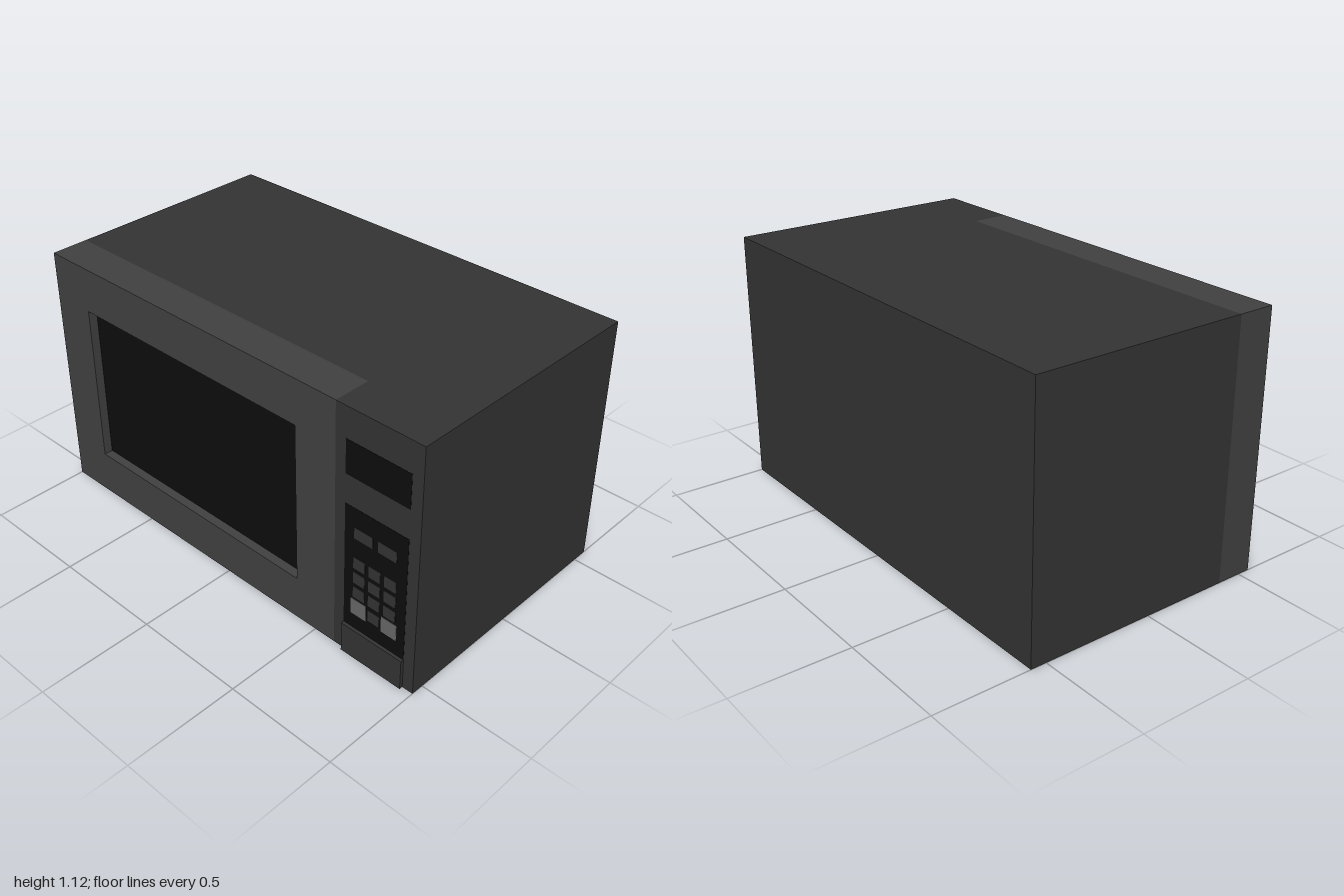
import * as THREE from 'three';

const H = 1.125, BACK = -0.57, SEAM = 0.39, FRONT = 0.555, SPLIT = 0.6;

const material = (color) => new THREE.MeshStandardMaterial({ color });
const caseGrey = material(0x333333);
const doorGrey = material(0x404040);
const black = material(0x0d0d0d);
const lightGrey = material(0x666666);

export function createModel() {
  const model = new THREE.Group();
  model.name = 'microwaveOven';

  const add = (name, geometry, mat) => {
    const mesh = new THREE.Mesh(geometry, mat);
    mesh.name = name;
    model.add(mesh);
    return mesh;
  };
  // Box given by its extents on each axis
  const box = (name, mat, x0, x1, y0, y1, z0, z1) =>
    add(name, new THREE.BoxGeometry(x1 - x0, y1 - y0, z1 - z0), mat)
      .position.set((x0 + x1) / 2, (y0 + y1) / 2, (z0 + z1) / 2);
  const corners = (points) => points.map(([x, y]) => new THREE.Vector2(x, y));

  // Case: L-shaped plan with the control column reaching the front
  const plan = new THREE.Shape(corners([
    [-1, -SEAM], [SPLIT, -SEAM], [SPLIT, -FRONT], [1, -FRONT], [1, -BACK], [-1, -BACK],
  ]));
  const caseGeometry = new THREE.ExtrudeGeometry(plan, { depth: H, bevelEnabled: false });
  caseGeometry.rotateX(-Math.PI / 2);
  add('case', caseGeometry, caseGrey);

  // Door frame with a window opening
  const frame = new THREE.Shape(corners([[-1, 0], [SPLIT, 0], [SPLIT, H], [-1, H]]));
  frame.holes.push(new THREE.Path(corners([[-0.8, 0.2], [-0.8, 0.925], [0.4, 0.925], [0.4, 0.2]])));
  const doorGeometry = new THREE.ExtrudeGeometry(frame, { depth: FRONT - SEAM, bevelEnabled: false });
  add('door', doorGeometry, doorGrey).position.z = SEAM;

  // Recessed window pane
  box('window', black, -0.8, 0.4, 0.2, 0.925, SEAM, FRONT - 0.04);

  // Display, keypad panel and door release button
  box('display', black, 0.65, 0.95, 0.84, 0.99, FRONT - 0.01, FRONT + 0.001);
  box('keypadPanel', black, 0.65, 0.95, 0.14, 0.71, FRONT - 0.01, FRONT + 0.001);
  box('doorButton', caseGrey, 0.65, 0.95, 0, 0.14, FRONT - 0.01, 0.57);

  // Keys, placed by centre and size
  const key = (name, mat, x, y, w, h) =>
    box(name, mat, x - w / 2, x + w / 2, y - h / 2, y + h / 2, FRONT - 0.005, FRONT + 0.003);
  for (const x of [0.742, 0.856]) key('functionKey', caseGrey, x, 0.6, 0.088, 0.05);
  for (const y of [0.46, 0.39, 0.32]) {
    for (const x of [0.724, 0.799, 0.874]) key('numberKey', caseGrey, x, y, 0.056, 0.052);
  }
  key('zeroKey', caseGrey, 0.799, 0.247, 0.056, 0.052);
  for (const x of [0.724, 0.874]) key('startStopKey', lightGrey, x, 0.247, 0.075, 0.074);

  return model;
}
